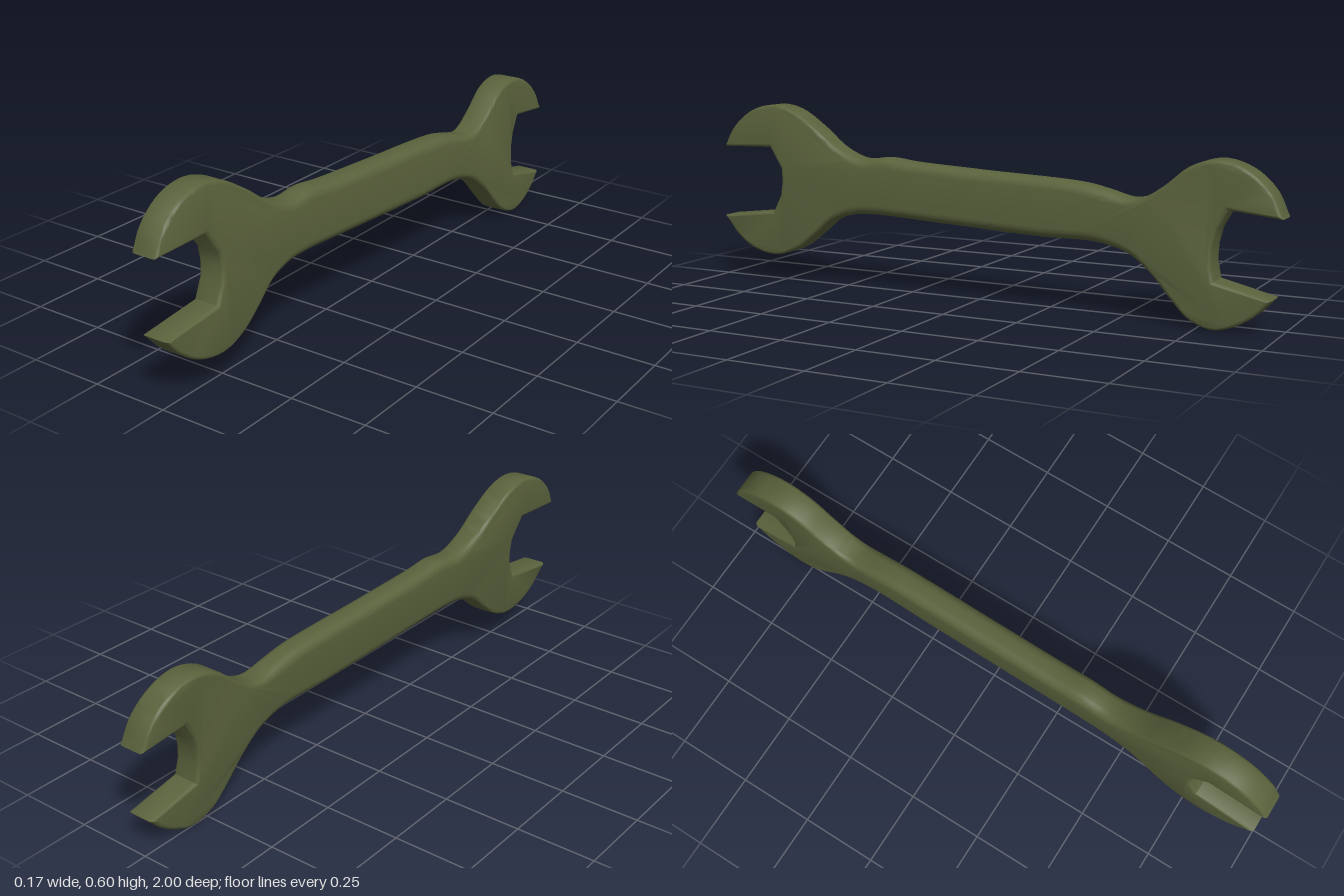
import * as THREE from 'three';
import { toCreasedNormals } from 'three/addons/utils/BufferGeometryUtils.js';

// Outline runs as [z, y], counter-clockwise seen from +x
const frontMouth = [[1, 0.455], [0.805, 0.46], [0.757, 0.39], [0.752, 0.345], [0.757, 0.30], [0.785, 0.24], [0.995, 0.214]];
const lowerEdge = [[0.995, 0.214], [0.93, 0.145], [0.865, 0.107], [0.775, 0.092], [0.69, 0.118], [0.61, 0.176], [0.545, 0.226],
  [0.465, 0.25], [0.385, 0.255], [0.1, 0.244], [-0.23, 0.231], [-0.42, 0.229], [-0.53, 0.203], [-0.605, 0.15],
  [-0.67, 0.08], [-0.725, 0.029], [-0.8, 0.004], [-0.87, 0.022], [-0.93, 0.06], [-0.975, 0.107]];
const backMouth = [[-0.975, 0.107], [-0.8, 0.147], [-0.788, 0.2], [-0.79, 0.25], [-0.803, 0.30], [-0.835, 0.358], [-0.998, 0.342]];
const upperEdge = [[-0.998, 0.342], [-0.96, 0.417], [-0.887, 0.478], [-0.8, 0.502], [-0.715, 0.48], [-0.635, 0.417], [-0.575, 0.38],
  [-0.527, 0.37], [-0.445, 0.39], [-0.365, 0.406], [0, 0.424], [0.25, 0.437], [0.34, 0.446], [0.435, 0.438],
  [0.53, 0.47], [0.625, 0.535], [0.72, 0.59], [0.8, 0.605], [0.89, 0.582], [0.965, 0.52], [1, 0.455]];

const HALF = 0.046;  // half the thickness
const STEPS = 5;     // segments in each rounded edge

function smoothRun(points) {
  const curve = new THREE.CatmullRomCurve3(points.map(([z, y]) => new THREE.Vector3(z, y, 0)));
  return curve.getSpacedPoints(110).map((p) => [p.x, p.y]);
}

// Edges are softer along the handle than on the heads
function edgeRadius(z) {
  return 0.032 - 0.02 * THREE.MathUtils.smoothstep(Math.abs(z), 0.4, 0.65);
}

function wrenchGeometry() {
  const runs = [frontMouth, smoothRun(lowerEdge), backMouth, smoothRun(upperEdge)];
  const outline = runs.flatMap((run) => run.slice(0, -1));
  const n = outline.length;

  // Inward mitre direction at each outline point
  const edgeNormal = (a, b) => new THREE.Vector2(b[1] - a[1], a[0] - b[0]).normalize();
  const inward = outline.map((p, i) => {
    const n1 = edgeNormal(outline[(i + n - 1) % n], p);
    const n2 = edgeNormal(p, outline[(i + 1) % n]);
    const m = n1.clone().add(n2).normalize();
    return m.multiplyScalar(Math.min(1.5, 1 / Math.max(0.1, m.dot(n1))));
  });

  // Rings from the -x face to the +x face, with quarter-round edges
  const rings = [];
  for (const side of [-1, 1]) {
    for (let k = 0; k <= STEPS; k++) {
      const a = (side < 0 ? STEPS - k : k) / STEPS * Math.PI / 2;
      rings.push({ side, inset: 1 - Math.cos(a), drop: 1 - Math.sin(a) });
    }
  }
  const positions = [];
  const index = [];
  for (const { side, inset, drop } of rings) {
    outline.forEach(([z0, y0], i) => {
      const r = edgeRadius(z0);
      const z = z0 + inward[i].x * r * inset;
      const y = y0 + inward[i].y * r * inset;
      // The whole tool leans slightly and turns a little off the z axis
      const x = side * (HALF - r * drop) - 0.027 * z - 0.058 * (y - 0.3);
      positions.push(x, y, z);
    });
  }
  for (let k = 0; k < rings.length - 1; k++) {
    for (let i = 0; i < n; i++) {
      const j = (i + 1) % n;
      const a = k * n + i, b = k * n + j, c = b + n, d = a + n;
      index.push(a, b, c, a, c, d);
    }
  }

  // Flat side faces
  const last = (rings.length - 1) * n;
  const cap = outline.map((_, i) => new THREE.Vector2(-positions[(last + i) * 3 + 2], positions[(last + i) * 3 + 1]));
  for (const [a, b, c] of THREE.ShapeUtils.triangulateShape(cap, [])) {
    index.push(last + a, last + b, last + c, a, c, b);
  }

  const geometry = new THREE.BufferGeometry();
  geometry.setAttribute('position', new THREE.Float32BufferAttribute(positions, 3));
  geometry.setIndex(index);
  return toCreasedNormals(geometry, 0.6);
}

export function createModel() {
  const group = new THREE.Group();
  group.name = 'openEndedWrench';
  const olive = new THREE.MeshStandardMaterial({ color: 0x5a623c });
  olive.name = 'olive metal';
  const body = new THREE.Mesh(wrenchGeometry(), olive);
  body.name = 'wrenchBody';
  group.add(body);
  return group;
}
